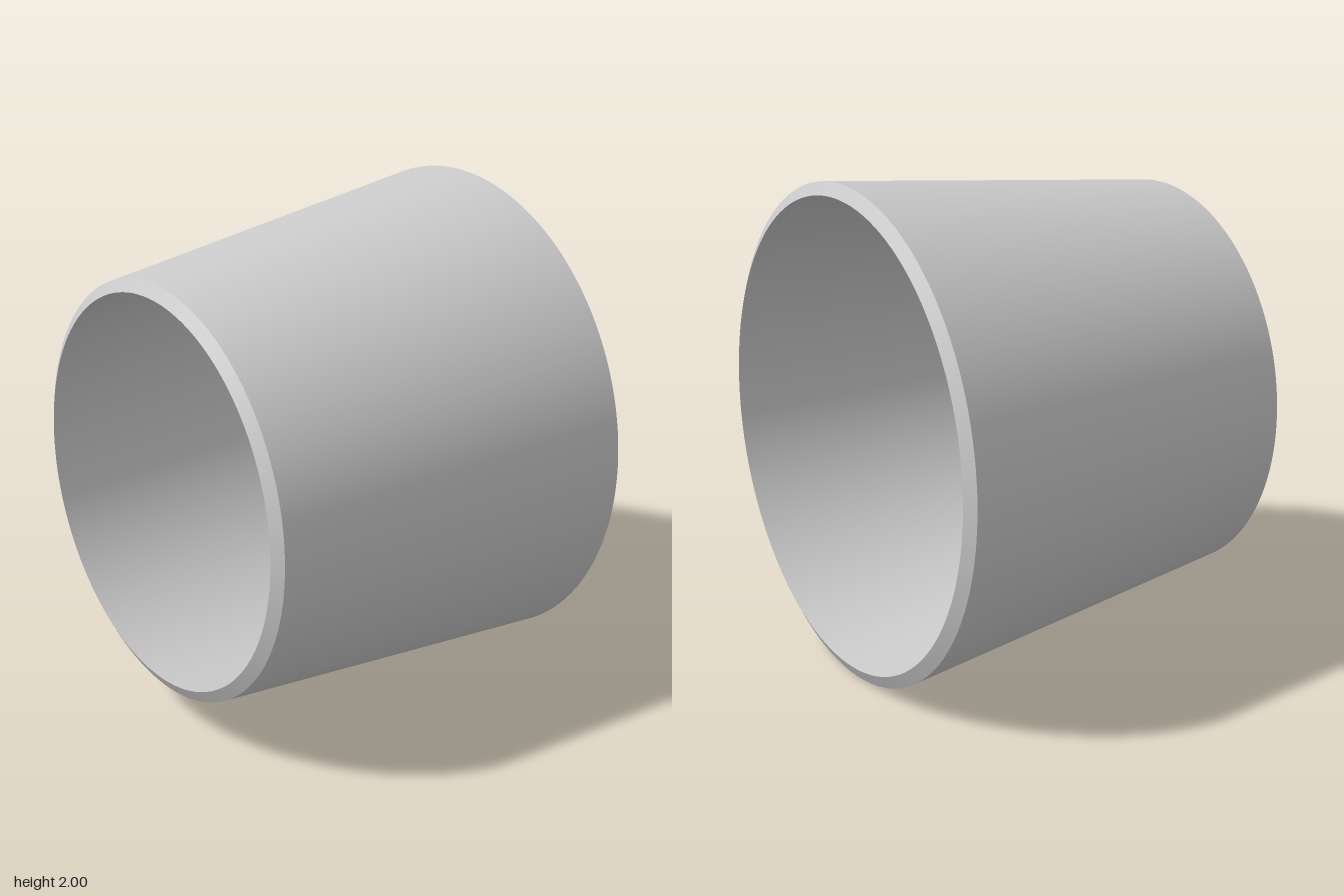
import * as THREE from 'three';

const SEGMENTS = 128;

// Surface between two circular rings; each ring is { x, r, z }, centred at y = 1.
// Rings are not shared between bands, so the edges stay sharp.
function band(name, from, to, material) {
  const positions = [];
  const index = [];
  for (const ring of [from, to]) {
    for (let i = 0; i < SEGMENTS; i++) {
      const a = (i / SEGMENTS) * Math.PI * 2;
      positions.push(ring.x + ring.r * Math.cos(a), 1 + ring.r * Math.sin(a), ring.z);
    }
  }
  for (let i = 0; i < SEGMENTS; i++) {
    const j = (i + 1) % SEGMENTS;
    index.push(i, j, SEGMENTS + i, j, SEGMENTS + j, SEGMENTS + i);
  }
  const geometry = new THREE.BufferGeometry();
  geometry.setAttribute('position', new THREE.Float32BufferAttribute(positions, 3));
  geometry.setIndex(index);
  geometry.computeVertexNormals();
  const mesh = new THREE.Mesh(geometry, material);
  mesh.name = name;
  return mesh;
}

export function createModel() {
  const group = new THREE.Group();
  group.name = 'eccentricPipeReducer';
  const material = new THREE.MeshStandardMaterial({ color: 0xcccccc });

  // Large end is centred; small end is shifted so the left side runs straight
  const backOuter = { x: 0, r: 1, z: -0.803 };
  const frontOuter = { x: 0.167, r: 0.833, z: 0.803 };
  const frontInner = { x: 0.167, r: 0.784, z: 0.832 };
  const backInner = { x: 0, r: 0.948, z: -0.832 };

  // Closed loop of bands: outside, front bevel, bore, back bevel
  group.add(
    band('outerWall', backOuter, frontOuter, material),
    band('frontBevel', frontOuter, frontInner, material),
    band('innerWall', frontInner, backInner, material),
    band('backBevel', backInner, backOuter, material),
  );
  return group;
}
